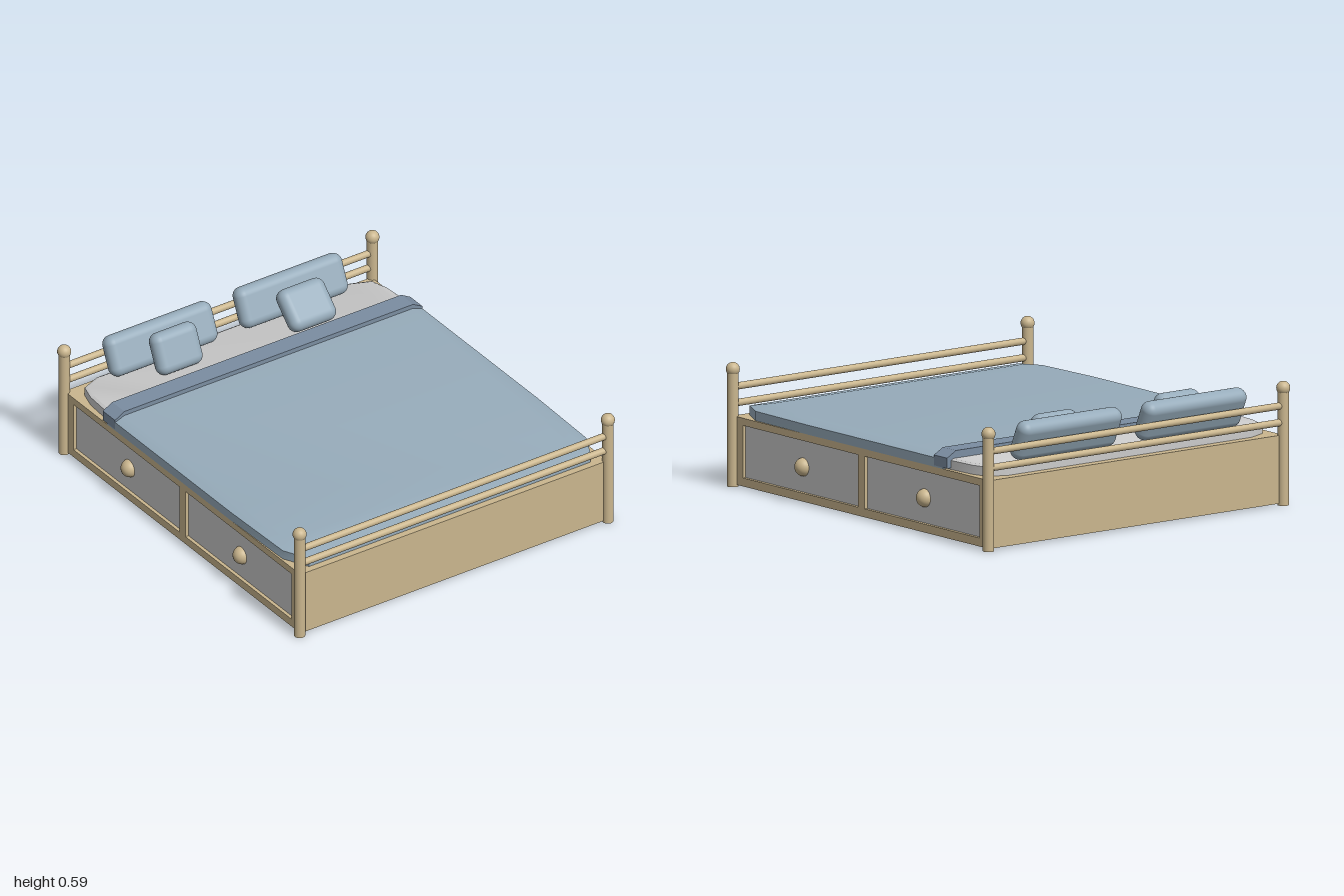
import * as THREE from 'three';
import { toCreasedNormals } from 'three/addons/utils/BufferGeometryUtils.js';
import { RoundedBoxGeometry } from 'three/addons/geometries/RoundedBoxGeometry.js';

const material = (color) => new THREE.MeshStandardMaterial({ color });

// Stack of convex outlines, each { y, half } with half = right side points [x, z] from front to back
function loft(rings) {
  const loops = rings.map(({ y, half }) => [
    ...half.map(([x, z]) => [x, y, z]),
    ...half.slice().reverse().map(([x, z]) => [-x, y, z]),
  ]);
  const n = loops[0].length;
  const index = [];
  for (let r = 0; r < loops.length - 1; r++) {
    for (let i = 0; i < n; i++) {
      const a = r * n + i, b = r * n + ((i + 1) % n);
      index.push(a, b, b + n, a, b + n, a + n);
    }
  }
  const top = (loops.length - 1) * n;
  for (let i = 1; i < n - 1; i++) {
    index.push(0, i + 1, i, top, top + i, top + i + 1);
  }
  const geometry = new THREE.BufferGeometry();
  geometry.setAttribute('position', new THREE.Float32BufferAttribute(loops.flat(2), 3));
  geometry.setIndex(index);
  return toCreasedNormals(geometry, 0.5);
}

export function createModel() {
  const bed = new THREE.Group();
  bed.name = 'bed';
  const wood = material(0xcab68e);
  const grey = material(0xcccccc);
  const blue = material(0x97acbb);
  const darkBlue = material(0x7b8da1);

  const add = (name, geometry, mat, x = 0, y = 0, z = 0) => {
    const mesh = new THREE.Mesh(geometry, mat);
    mesh.name = name;
    mesh.position.set(x, y, z);
    bed.add(mesh);
    return mesh;
  };

  // Base core, set in at the sides behind the drawer frames
  add('base', new THREE.BoxGeometry(1.69, 0.325, 1.94), wood, 0, 0.1725, 0);

  // Side frame with two drawer openings
  const rect = (Type, z0, z1, y0, y1) => new Type([
    new THREE.Vector2(z0, y0), new THREE.Vector2(z1, y0),
    new THREE.Vector2(z1, y1), new THREE.Vector2(z0, y1),
  ]);
  const frameShape = rect(THREE.Shape, -0.97, 0.97, 0.01, 0.335);
  frameShape.holes.push(
    rect(THREE.Path, -0.895, -0.025, 0.05, 0.3),
    rect(THREE.Path, 0.025, 0.895, 0.05, 0.3),
  );
  const frameGeometry = new THREE.ExtrudeGeometry(frameShape, { depth: 0.03, bevelEnabled: false });
  for (const side of [-1, 1]) {
    add('sideFrame', frameGeometry, wood, side * 0.857 - 0.015, 0, 0).rotation.y = Math.PI / 2;
    bed.children.at(-1).position.x = side > 0 ? 0.842 : -0.872;
    for (const z of [-0.46, 0.46]) {
      add('drawerFront', new THREE.BoxGeometry(0.02, 0.25, 0.87), grey, side * 0.845, 0.175, z);
      add('drawerKnob', new THREE.SphereGeometry(0.044, 24, 16), wood, side * 0.852, 0.17, z);
    }
  }

  // Corner posts with ball tops, and paired rails at head and foot
  for (const z of [-0.967, 0.967]) {
    for (const x of [-0.875, 0.875]) {
      add('post', new THREE.CylinderGeometry(0.027, 0.027, 0.54, 20), wood, x, 0.27, z);
      add('postBall', new THREE.SphereGeometry(0.033, 24, 16), wood, x, 0.558, z);
    }
    for (const y of [0.395, 0.474]) {
      add('rail', new THREE.CylinderGeometry(0.017, 0.017, 1.75, 16), wood, 0, y, z).rotation.z = Math.PI / 2;
    }
  }

  // Mattress visible at the head end
  const mattressHalf = [[0.85, 0.8], [0.85, -0.65], [0.84, -0.8], [0.815, -0.885], [0.72, -0.925]];
  const shrink = (half, s) => half.map(([x, z]) => [x * s, z * s]);
  add('mattress', loft([
    { y: 0.33, half: mattressHalf },
    { y: 0.378, half: mattressHalf },
    { y: 0.386, half: shrink(mattressHalf, 0.985) },
  ]), grey);

  // Blanket, falling off towards the foot and the sides
  const blanketHalf = [[0.8, 0.935], [0.862, 0.81], [0.872, 0.4], [0.872, -0.62]];
  add('blanket', loft([
    { y: 0.335, half: blanketHalf },
    { y: 0.38, half: blanketHalf },
    { y: 0.4, half: [[0.75, 0.83], [0.8, 0.76], [0.82, 0.4], [0.82, -0.62]] },
  ]), blue);

  // Folded band across the blanket
  const band = new THREE.Shape([
    [-0.873, 0.342], [0.873, 0.342], [0.873, 0.392], [0.82, 0.422], [-0.82, 0.422], [-0.873, 0.392],
  ].map(([x, y]) => new THREE.Vector2(x, y)));
  add('blanketFold', new THREE.ExtrudeGeometry(band, { depth: 0.1, bevelEnabled: false }), darkBlue, 0, 0, -0.652);

  // Pillows leaning back: [name, width, height, depth, x, y, z, tilt]
  const pillows = [
    ['largePillow', 0.6, 0.2, 0.092, -0.38, 0.485, -0.897, 0.42],
    ['largePillow', 0.6, 0.2, 0.092, 0.36, 0.485, -0.897, 0.42],
    ['smallPillow', 0.25, 0.205, 0.09, -0.365, 0.484, -0.788, 0.42],
    ['smallPillow', 0.255, 0.212, 0.095, 0.352, 0.482, -0.755, 0.8],
  ];
  for (const [name, w, h, d, x, y, z, tilt] of pillows) {
    add(name, new RoundedBoxGeometry(w, h, d, 5, 0.043), blue, x, y, z).rotation.x = -tilt;
  }
  return bed;
}
